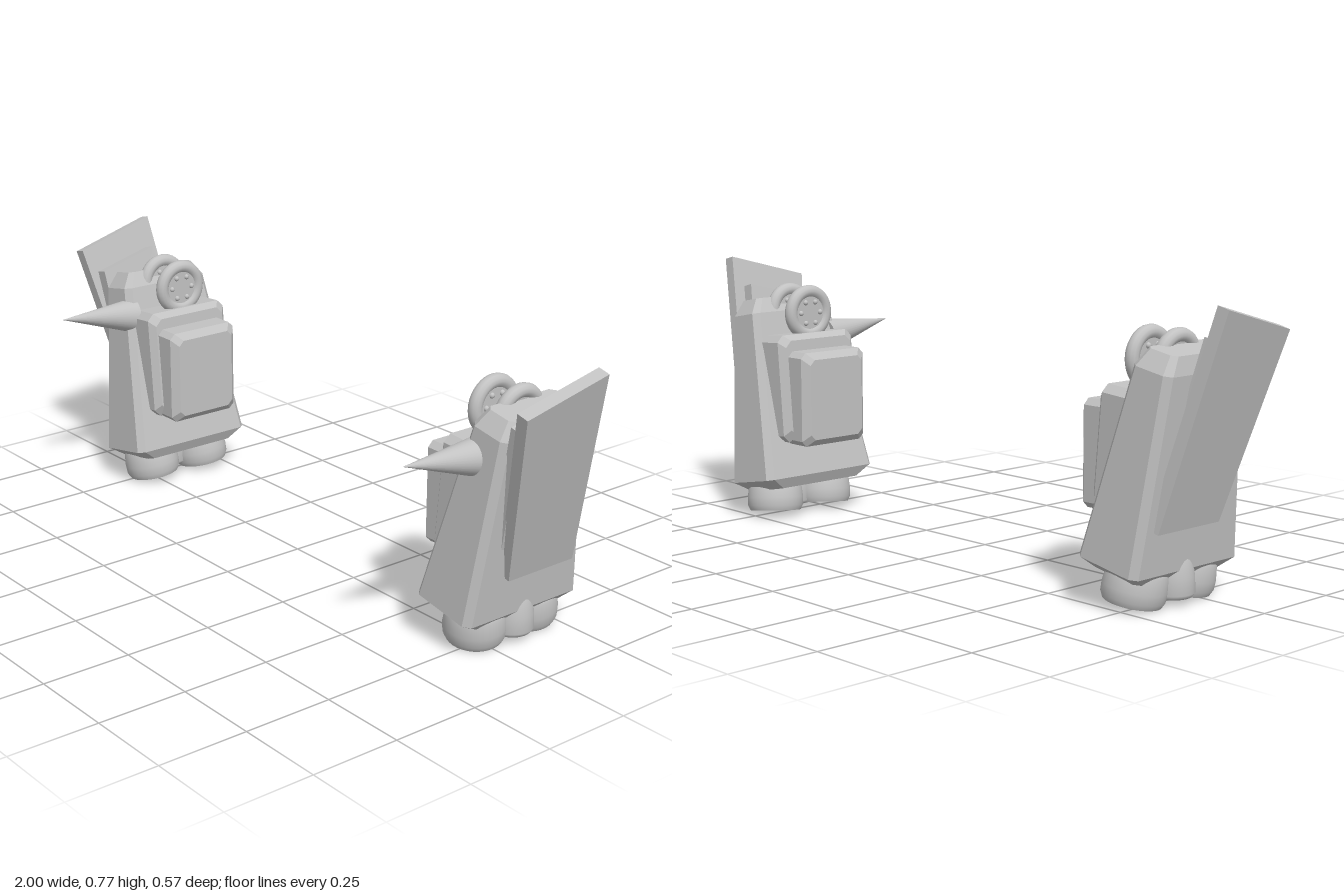
import * as THREE from 'three';

const grey = new THREE.MeshStandardMaterial({ color: 0xc2c2c2 });
grey.name = 'plain grey';

// Faceted solid through a stack of matching loops, with both ends capped
function loft(loops) {
  const pos = [];
  const tri = (a, b, c) => pos.push(...a, ...b, ...c);
  const n = loops[0].length;
  for (let l = 0; l < loops.length - 1; l++) {
    for (let i = 0; i < n; i++) {
      const j = (i + 1) % n;
      const [a, b, c, d] = [loops[l][i], loops[l][j], loops[l + 1][j], loops[l + 1][i]];
      tri(a, b, c);
      tri(a, c, d);
    }
  }
  const first = loops[0], last = loops[loops.length - 1];
  for (let i = 1; i < n - 1; i++) {
    tri(first[0], first[i + 1], first[i]);
    tri(last[0], last[i], last[i + 1]);
  }
  const geo = new THREE.BufferGeometry();
  geo.setAttribute('position', new THREE.Float32BufferAttribute(pos, 3));
  geo.computeVertexNormals();
  return geo;
}

// Tapered box with chamfered edges; levels are [y, halfWidth, halfDepth, chamfer]
function chamferBox(levels) {
  return loft(levels.map(([y, w, d, c]) => [
    [w, y, d - c], [w, y, c - d], [w - c, y, -d], [c - w, y, -d],
    [-w, y, c - d], [-w, y, d - c], [c - w, y, d], [w - c, y, d],
  ]));
}

// Thin plate from its outer corners and an offset to the inner face
function plate(outer, [dx, dy, dz]) {
  return loft([outer.map(([x, y, z]) => [x + dx, y + dy, z + dz]), outer]);
}

function add(parent, name, geo, p = [0, 0, 0], r = [0, 0, 0]) {
  const mesh = new THREE.Mesh(geo, grey);
  mesh.name = name;
  mesh.position.set(...p);
  mesh.rotation.set(...r);
  parent.add(mesh);
  return mesh;
}

// Ringed disc with rivets on both faces, its axis along x
function makeWheel(name) {
  const wheel = new THREE.Group();
  wheel.name = name;
  add(wheel, 'wheelRim', new THREE.TorusGeometry(0.064, 0.019, 12, 36), [0, 0, 0], [0, Math.PI / 2, 0]);
  add(wheel, 'wheelDisc', new THREE.CylinderGeometry(0.06, 0.06, 0.022, 32), [0, 0, 0], [0, 0, Math.PI / 2]);
  for (const side of [-1, 1]) {
    for (let i = 0; i < 6; i++) {
      const a = (i / 6) * Math.PI * 2;
      add(wheel, 'rivet', new THREE.SphereGeometry(0.008, 10, 8),
        [side * 0.011, Math.sin(a) * 0.036, Math.cos(a) * 0.036]);
    }
  }
  return wheel;
}

function lathe(points) {
  return new THREE.LatheGeometry(points.map(([x, y]) => new THREE.Vector2(x, y)), 32);
}

function makeSide(name) {
  const side = new THREE.Group();
  side.name = name;
  const tilt = -0.183;

  // Leaning main body, narrower at the top
  add(side, 'body', chamferBox([
    [-0.03, 0.08, 0.155, 0.015],
    [0, 0.1, 0.2, 0.018],
    [0.5, 0.063, 0.146, 0.018],
    [0.545, 0.046, 0.115, 0.014],
  ]), [0.725, 0.12, -0.085], [0, 0, tilt]);

  // Stepped box on the inner side
  add(side, 'innerPanel', chamferBox([
    [0, 0.16, 0.14, 0.02], [0.09, 0.16, 0.14, 0.02], [0.108, 0.143, 0.123, 0.02],
  ]), [0.735, 0.395, -0.085], [0, 0, Math.PI / 2 - 0.085]);
  add(side, 'innerPod', chamferBox([
    [0, 0.14, 0.117, 0.016], [0.085, 0.14, 0.117, 0.016], [0.105, 0.12, 0.097, 0.016],
  ]), [0.66, 0.375, -0.085], [0, 0, Math.PI / 2]);

  // Forward spike
  add(side, 'spike', new THREE.ConeGeometry(0.052, 0.25, 32),
    [0.765, 0.55, 0.165], [Math.PI / 2 - 0.13, 0, 0]);

  // Wheels at the top
  const outerWheel = makeWheel('topWheel');
  outerWheel.position.set(0.775, 0.62, -0.085);
  outerWheel.rotation.z = tilt / 2;
  const innerWheel = makeWheel('innerWheel');
  innerWheel.position.set(0.687, 0.62, -0.085);
  side.add(outerWheel, innerWheel);

  // Large outer fin and the smaller plate behind it
  add(side, 'fin', plate([
    [0.85, 0.213, 0], [0.85, 0.213, -0.228], [1, 0.767, -0.16], [0.983, 0.7, 0.095],
  ], [-0.035, 0.009, 0]));
  add(side, 'finBacking', plate([
    [0.835, 0.26, 0.022], [0.835, 0.26, -0.19], [0.94, 0.685, -0.135], [0.925, 0.64, 0.055],
  ], [-0.035, 0.009, 0]));

  // Feet
  const foot = lathe([[0, -0.05], [0.076, -0.05], [0.076, -0.05], [0.083, -0.035],
    [0.084, -0.01], [0.079, 0.03], [0.066, 0.05], [0, 0.065]]);
  for (const z of [0.003, -0.182]) {
    add(side, z > -0.1 ? 'frontFoot' : 'backFoot', foot, [0.738, 0.069, z], [0.11, 0, -0.14]);
  }
  add(side, 'outerFoot', lathe([[0, 0.026], [0.053, 0.026], [0.061, 0.037], [0.059, 0.08],
    [0.05, 0.135], [0.03, 0.16], [0, 0.165]]), [0.775, 0, -0.09]);
  return side;
}

export function createModel() {
  const model = new THREE.Group();
  model.name = 'shoulderPair';
  const left = makeSide('leftUnit');
  const right = makeSide('rightUnit');
  right.scale.x = -1;
  model.add(left, right);
  return model;
}
